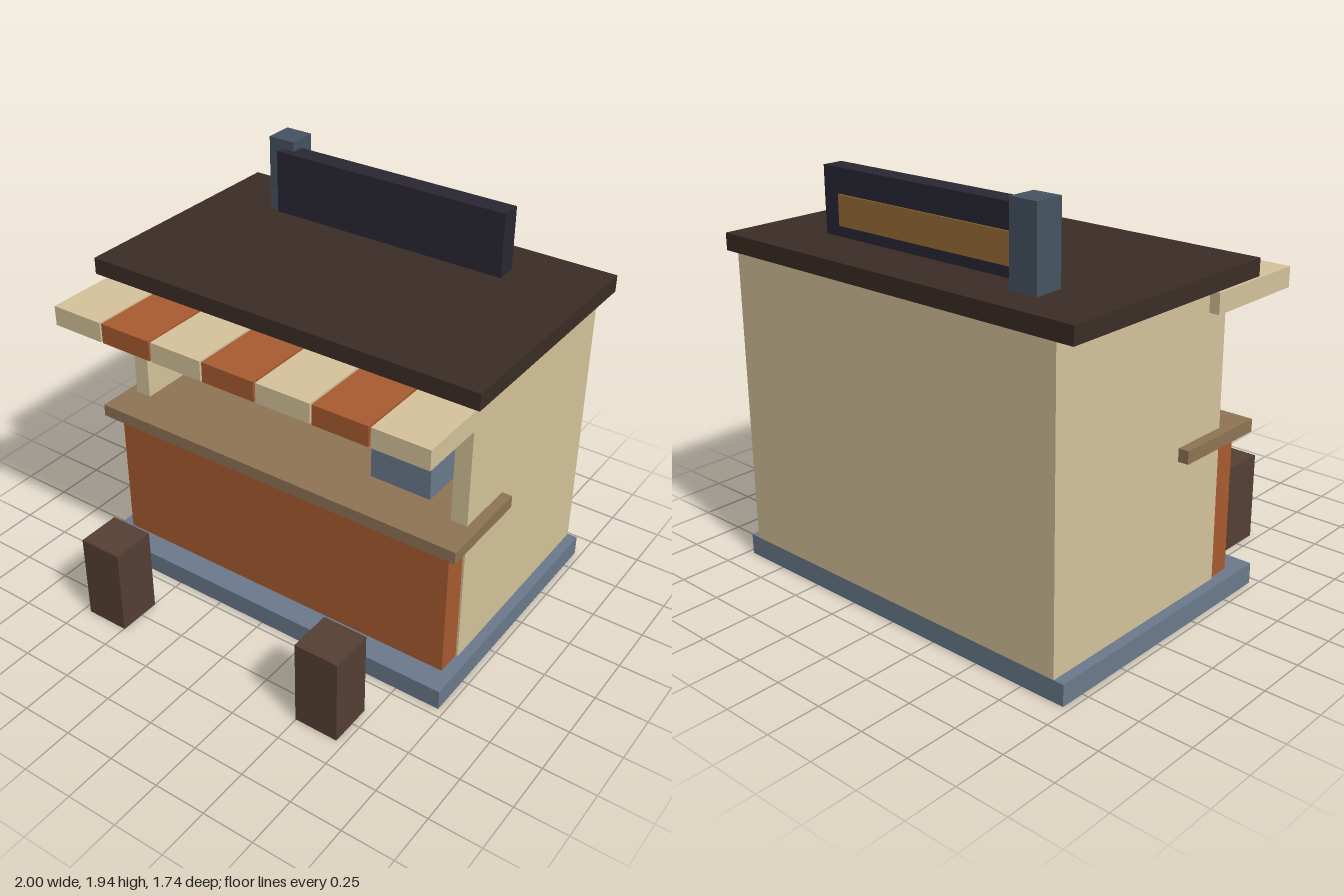
import * as THREE from 'three';

const COLORS = {
  cream: 0xd5c39b, orange: 0xa95b30, roof: 0x3b2d27, slate: 0x6b7a8c, wood: 0x8f7455,
  sign: 0x2a2733, post: 0x465362, stool: 0x553f33, rust: 0x733c26, gold: 0x9c6f38,
};

export function createModel() {
  const model = new THREE.Group();
  model.name = 'marketStall';

  const materials = {};
  for (const key in COLORS) {
    materials[key] = new THREE.MeshStandardMaterial({ color: COLORS[key], flatShading: true });
  }

  // Box given by its extents along each axis
  function box(name, color, [x0, x1], [y0, y1], [z0, z1], parent = model) {
    const mesh = new THREE.Mesh(new THREE.BoxGeometry(x1 - x0, y1 - y0, z1 - z0), materials[color]);
    mesh.position.set((x0 + x1) / 2, (y0 + y1) / 2, (z0 + z1) / 2);
    mesh.name = name;
    parent.add(mesh);
    return mesh;
  }

  // Base slab, walls and roof
  box('base', 'slate', [-0.97, 0.97], [0, 0.1], [-0.87, 0.46]);
  box('backWall', 'cream', [-0.92, 0.92], [0.1, 1.495], [-0.87, -0.75]);
  box('roof', 'roof', [-1, 1], [1.495, 1.575], [-0.87, 0.34]);

  // Counter
  box('counterFront', 'orange', [-0.91, 0.91], [0.1, 0.77], [0.22, 0.34]);
  box('counterTop', 'wood', [-0.97, 0.97], [0.77, 0.83], [-0.08, 0.4]);

  // Side walls and stools, mirrored left and right
  for (const [side, s] of [['left', 1], ['right', -1]]) {
    const span = (a, b) => (s > 0 ? [a, b] : [-b, -a]);
    box(side + 'SideWall', 'cream', span(0.84, 0.92), [0.1, 1.495], [-0.75, 0.22]);
    box(side + 'Stool', 'stool', span(0.497, 0.713), [0, 0.43], [0.655, 0.87]);
  }

  // Striped awning of seven separate slats
  const awning = new THREE.Group();
  awning.name = 'awning';
  model.add(awning);
  for (let i = 0; i < 7; i++) {
    const x = (i - 3) * 0.278;
    box('awningSlat' + (i + 1), i % 2 ? 'orange' : 'cream',
      [x - 0.134, x + 0.134], [1.375, 1.47], [0.1, 0.64], awning);
  }

  // Cooker with a handle on the counter
  box('cooker', 'slate', [0.39, 0.695], [0.83, 1.01], [-0.07, 0.15]);
  box('cookerHandle', 'rust', [0.513, 0.573], [1.01, 1.215], [0.01, 0.07]);

  // Rooftop sign board with rear panel and post
  box('signBoard', 'sign', [-0.607, 0.607], [1.59, 1.895], [-0.62, -0.52]);
  box('signPanel', 'gold', [-0.515, 0.515], [1.64, 1.78], [-0.627, -0.62]);
  box('signPost', 'post', [-0.68, -0.54], [1.575, 1.94], [-0.7, -0.56]);

  return model;
}
